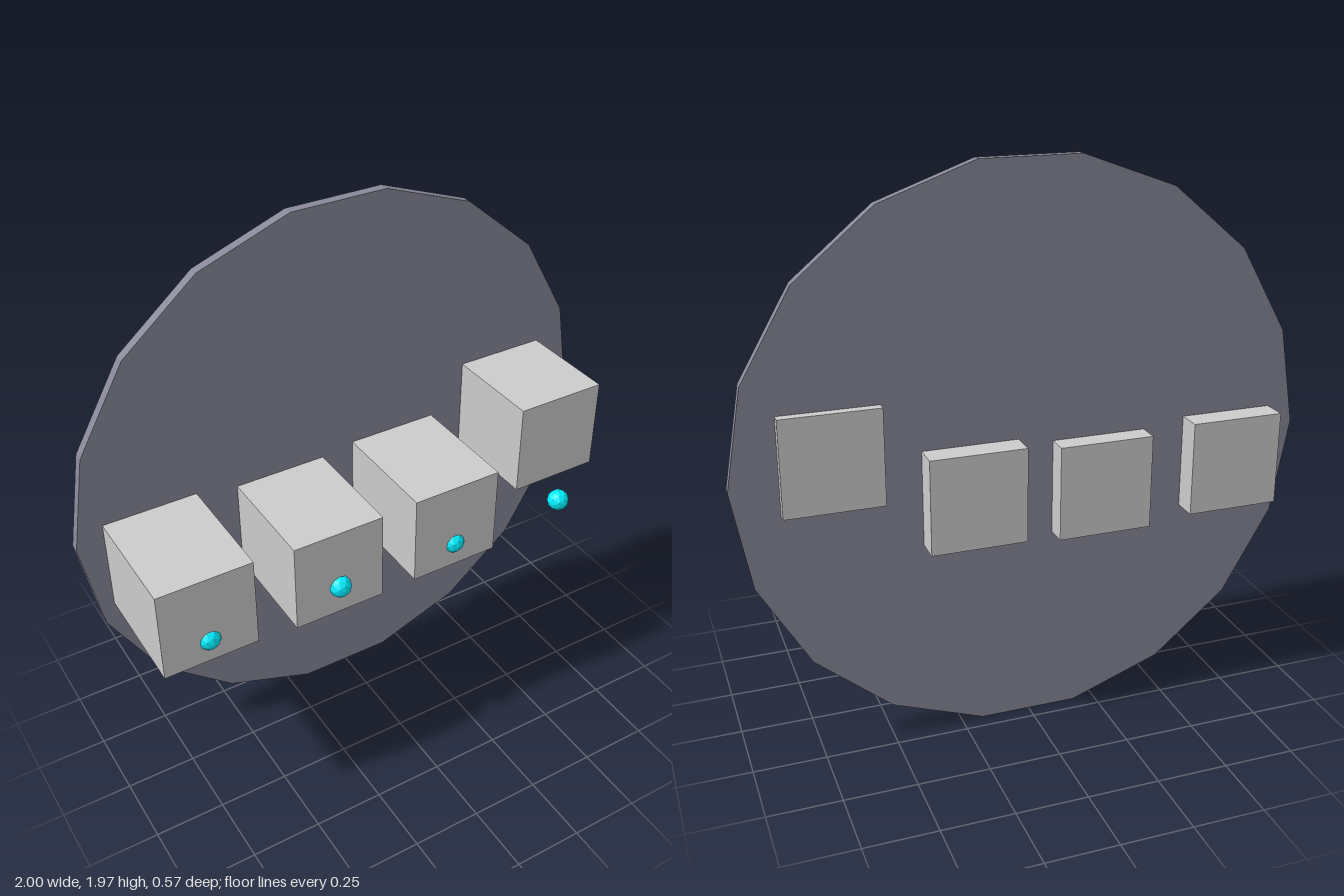
import * as THREE from 'three';

export function createModel() {
  const model = new THREE.Group();
  const material = (color) => new THREE.MeshStandardMaterial({ color, flatShading: true });
  const grey = material(0xcccccc);
  const slate = material(0x888899);
  const cyan = material(0x00eeff);

  const add = (name, geometry, mat, x, y, z) => {
    const mesh = new THREE.Mesh(geometry, mat);
    mesh.name = name;
    mesh.position.set(x, y, z);
    model.add(mesh);
  };

  // Upright 18-sided disc, with a corner at each side
  const disc = new THREE.CylinderGeometry(1, 1, 0.035, 18, 1, false, Math.PI / 2);
  disc.rotateX(Math.PI / 2);
  add('disc', disc, slate, 0, 0.985, -0.178);

  // Blocks passing through the disc: centre x, centre y, back z, front z
  const size = 0.335;
  const blocks = [
    [-0.735, 0.884, -0.284, 0.257],
    [-0.25, 0.856, -0.272, 0.243],
    [0.207, 0.877, -0.286, 0.258],
    [0.672, 1.053, -0.229, 0.205],
  ];

  // Each block has a small faceted bead below its centre
  const bead = new THREE.IcosahedronGeometry(0.04, 1);
  blocks.forEach(([x, y, back, front], i) => {
    const box = new THREE.BoxGeometry(size, size, front - back);
    add(`block${i + 1}`, box, grey, x, y, (front + back) / 2);
    add(`bead${i + 1}`, bead, cyan, x, 0.8, 0.243);
  });

  return model;
}
